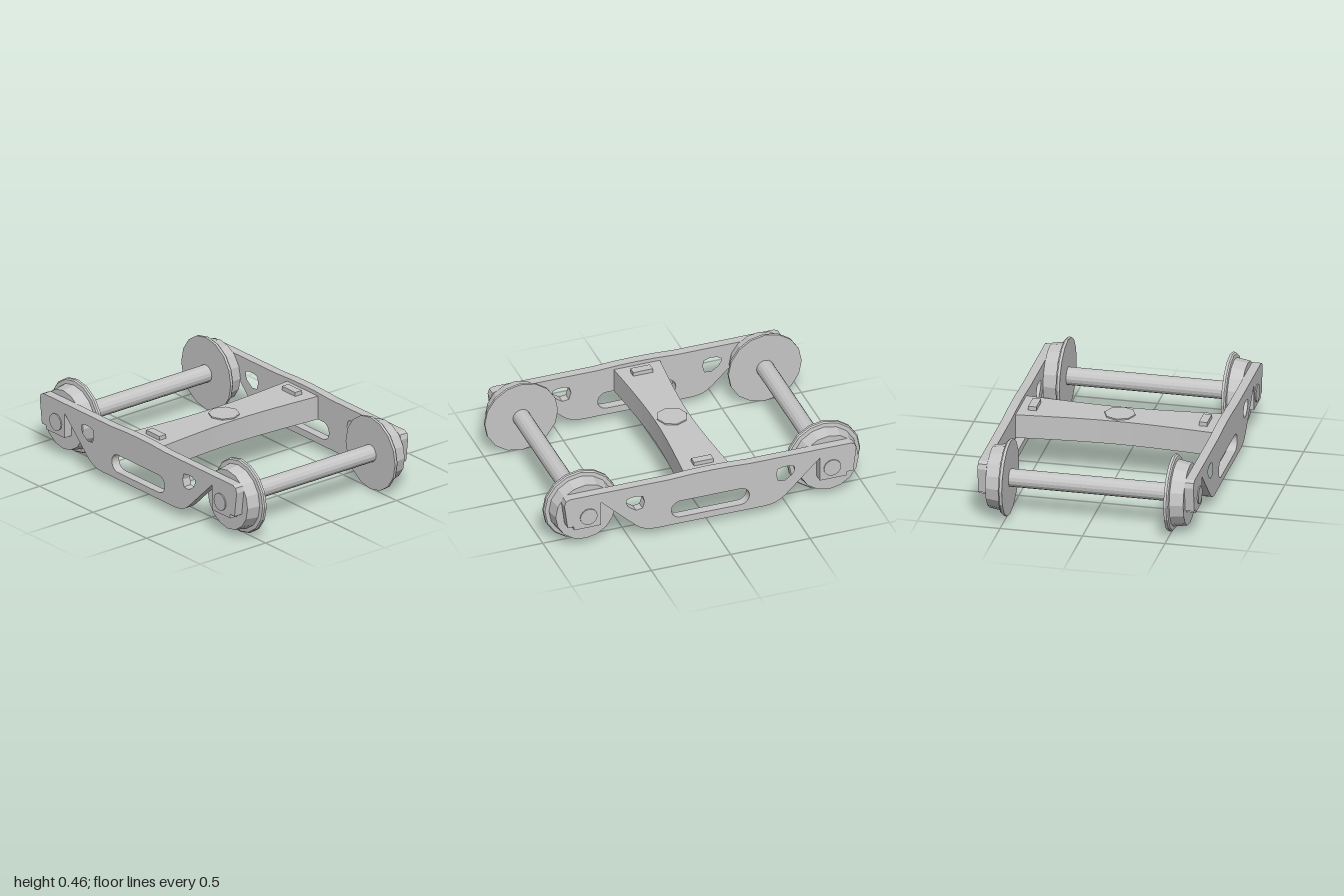
import * as THREE from 'three';

const AXLE_Y = 0.232, AXLE_Z = 0.768;
const v2 = (list) => list.map(([x, y]) => new THREE.Vector2(x, y));

export function createModel() {
  const model = new THREE.Group();
  model.name = 'railTruck';
  const steel = new THREE.MeshStandardMaterial({ color: 0xc6c6c6, flatShading: true });
  steel.name = 'grey steel';

  const add = (name, geometry, parent = model) => {
    const mesh = new THREE.Mesh(geometry, steel);
    mesh.name = name;
    parent.add(mesh);
    return mesh;
  };

  // Side frame outline: one half in (z, y), mirrored to the other
  const half = [
    [0, 0.385], [0.12, 0.383], [0.25, 0.376], [0.885, 0.376], [0.91, 0.365], [0.92, 0.335],
    [0.9, 0.18], [0.86, 0.18], [0.86, 0.155], [0.69, 0.155], [0.69, 0.314],
    [0.475, 0.107], [0.445, 0.083], [0.41, 0.065], [0.37, 0.057], [0.33, 0.055],
  ];
  const mirrored = half.slice(1).reverse().map(([z, y]) => [-z, y]);
  const frame = new THREE.Shape(v2([...half, ...mirrored]));

  // Long centre slot and a rounded lightening hole on each side of it
  const slot = new THREE.Path();
  slot.absarc(0.19, 0.155, 0.056, -Math.PI / 2, Math.PI / 2, false);
  slot.absarc(-0.19, 0.155, 0.056, Math.PI / 2, Math.PI * 1.5, false);
  slot.closePath();
  frame.holes.push(slot);
  const hole = [
    [0.53, 0.292], [0.5, 0.303], [0.46, 0.305], [0.425, 0.294], [0.415, 0.257],
    [0.428, 0.214], [0.47, 0.209], [0.515, 0.24], [0.53, 0.267],
  ];
  for (const s of [1, -1]) {
    frame.holes.push(new THREE.Path(v2(hole.map(([z, y]) => [s * z, y]))));
  }
  const frameGeometry = new THREE.ExtrudeGeometry(frame, {
    depth: 0.055, bevelEnabled: false, curveSegments: 8,
  });
  frameGeometry.translate(0, 0, -0.0275).rotateY(-Math.PI / 2);
  for (const s of [1, -1]) {
    add(s > 0 ? 'leftSideFrame' : 'rightSideFrame', frameGeometry).position.x = s * 0.6275;
  }

  // Wheel profile: flange on the inside, tapered tread on the outside
  const wheelGeometry = new THREE.LatheGeometry(v2([
    [0, 0.49], [0.231, 0.49], [0.231, 0.506], [0.224, 0.515],
    [0.2, 0.518], [0.187, 0.6], [0, 0.6],
  ]), 16);
  const axleGeometry = new THREE.CylinderGeometry(0.054, 0.054, 1.324, 16);
  axleGeometry.rotateZ(Math.PI / 2);
  for (const end of [1, -1]) {
    const wheelset = new THREE.Group();
    wheelset.name = end > 0 ? 'frontWheelset' : 'rearWheelset';
    wheelset.position.set(0, AXLE_Y, end * AXLE_Z);
    model.add(wheelset);
    add('axle', axleGeometry, wheelset);
    for (const s of [1, -1]) {
      add(s > 0 ? 'leftWheel' : 'rightWheel', wheelGeometry, wheelset).rotation.z = -s * Math.PI / 2;
    }
  }

  // Cross beam, waisted towards the middle
  const bolsterGeometry = new THREE.BoxGeometry(1.2, 0.148, 1, 12, 1, 1);
  const p = bolsterGeometry.attributes.position;
  for (let i = 0; i < p.count; i++) {
    const t = Math.abs(p.getX(i)) / 0.6;
    const halfDepth = 0.108 + 0.037 * (t * t * (1.6 - 0.6 * t));
    p.setZ(i, Math.sign(p.getZ(i)) * halfDepth);
  }
  bolsterGeometry.computeVertexNormals();
  add('bolster', bolsterGeometry).position.y = 0.286;

  // Pivot plate and side bearing pads on the beam
  const plate = add('pivotPlate', new THREE.CylinderGeometry(0.093, 0.093, 0.016, 8));
  plate.position.y = 0.36;
  for (const s of [1, -1]) {
    add('bearingPad', new THREE.BoxGeometry(0.05, 0.04, 0.124)).position.set(s * 0.518, 0.365, 0);
  }

  return model;
}
